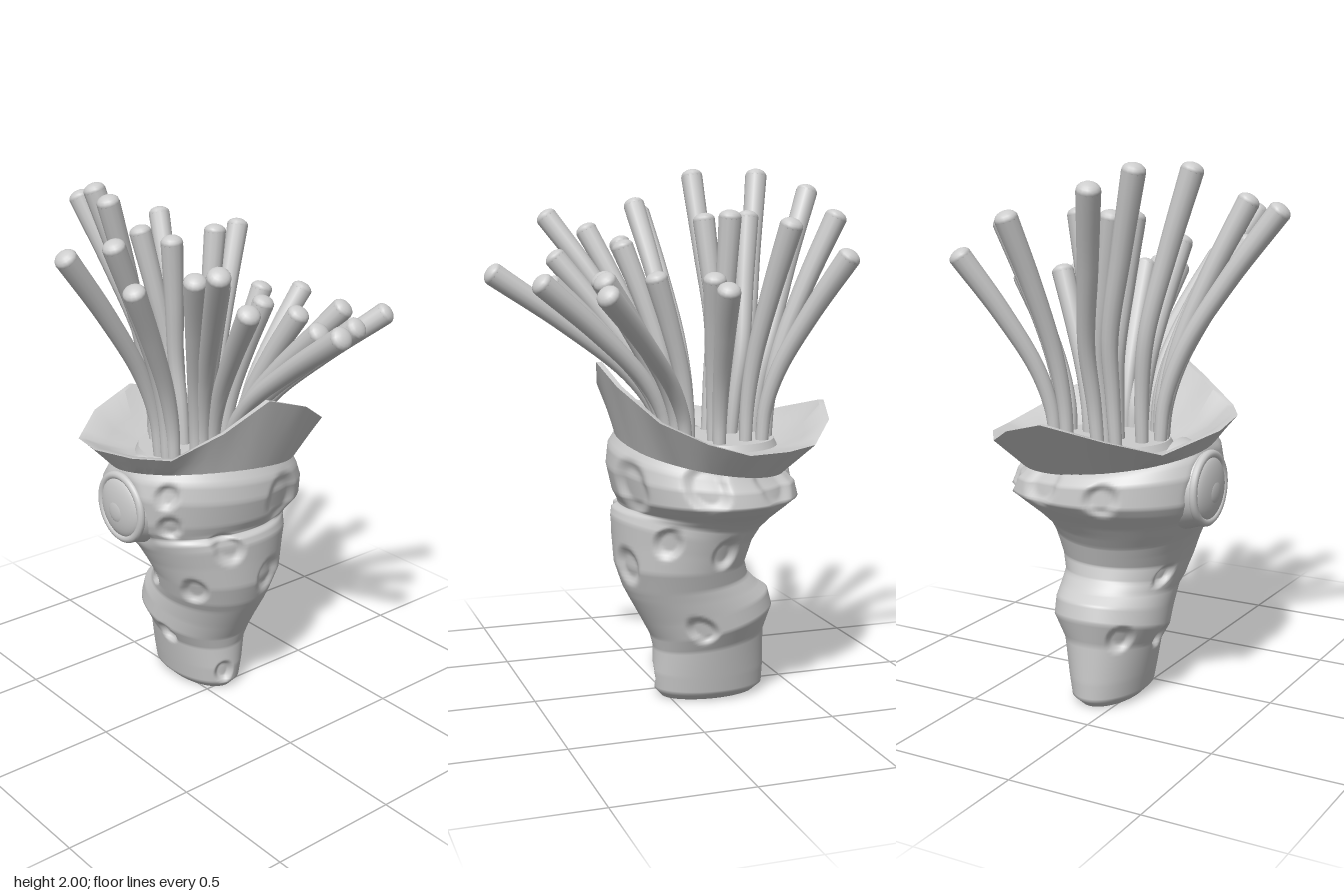
import * as THREE from 'three';
import { toCreasedNormals } from 'three/addons/utils/BufferGeometryUtils.js';

const material = new THREE.MeshStandardMaterial({ color: 0xcccccc });
const { lerp, smoothstep, degToRad } = THREE.MathUtils;
const UP = new THREE.Vector3(0, 1, 0);

function addMesh(parent, geometry, name) {
  const mesh = new THREE.Mesh(geometry, material);
  mesh.name = name;
  parent.add(mesh);
  return mesh;
}

// Skin a stack of closed rings (each an array of Vector3, all the same length)
function loft(rings) {
  const n = rings[0].length, index = [];
  for (let i = 0; i < rings.length - 1; i++) {
    for (let j = 0; j < n; j++) {
      const k = (j + 1) % n;
      const a = i * n + j, b = i * n + k, c = a + n, d = b + n;
      index.push(a, c, b, b, c, d);
    }
  }
  const geometry = new THREE.BufferGeometry().setFromPoints(rings.flat());
  geometry.setIndex(index);
  geometry.computeVertexNormals();
  return geometry;
}

// Trunk sections: y, left x, right x, back z, front z, sideways tilt
const SECTIONS = [
  [0, -0.17, -0.16, -0.09, -0.08, 0],
  [0, -0.35, 0.02, -0.18, 0.02, 0],
  [0.03, -0.382, 0.048, -0.215, 0.05, 0],
  [0.1, -0.385, 0.055, -0.23, 0.065, 0],
  [0.22, -0.382, 0.05, -0.255, 0.09, -0.03],
  [0.295, -0.412, 0.062, -0.295, 0.13, -0.055],
  [0.36, -0.395, 0.1, -0.3, 0.13, -0.05],
  [0.42, -0.35, 0.15, -0.305, 0.13, -0.02],
  [0.46, -0.31, 0.17, -0.31, 0.145, -0.02],
  [0.53, -0.295, 0.2, -0.335, 0.17, 0],
  [0.6, -0.31, 0.205, -0.35, 0.2, 0.03],
  [0.66, -0.325, 0.21, -0.365, 0.23, 0.05],
  [0.7, -0.36, 0.2, -0.375, 0.255, 0.04],
  [0.73, -0.4, 0.175, -0.41, 0.27, 0.02],
  [0.765, -0.455, 0.18, -0.46, 0.3, 0],
  [0.8, -0.485, 0.2, -0.5, 0.317, 0],
  [0.88, -0.478, 0.22, -0.488, 0.326, 0.01],
  [0.93, -0.45, 0.212, -0.465, 0.31, 0.03],
  [0.97, -0.42, 0.175, -0.445, 0.285, 0.05],
];

// Pits: angle in degrees (0 = left side, 90 = front), height, radius
const PITS = [
  [92, 0.84, 0.17], [114, 0.49, 0.045], [58, 0.51, 0.065], [22, 0.7, 0.07],
  [55, 0.93, 0.055], [53, 0.8, 0.055], [162, 0.83, 0.07], [138, 0.28, 0.06],
  [80, 0.24, 0.05], [12, 0.08, 0.055], [-18, 0.54, 0.08], [-20, 0.85, 0.11],
  [-60, 0.65, 0.065], [-72, 0.87, 0.1], [-120, 0.87, 0.11], [200, 0.86, 0.09],
  [-110, 0.6, 0.065], [-68, 0.3, 0.06],
];

function trunkGeometry() {
  const around = 192, rings = [];
  const ringAt = ([y, xl, xr, zb, zf, tilt]) => {
    const cx = (xl + xr) / 2, cz = (zb + zf) / 2, rx = (xr - xl) / 2, rz = (zf - zb) / 2;
    const pitch = 0.04 * smoothstep(y, 0.76, 0.95);
    return Array.from({ length: around }, (_, j) => {
      const t = (j / around) * Math.PI * 2, c = Math.cos(t), s = Math.sin(t);
      const py = y + tilt * c + pitch * s, mean = (rx + rz) / 2;
      let push = 0;
      for (const [deg, h, r] of PITS) {
        const turn = t - degToRad(deg);
        const arc = Math.atan2(Math.sin(turn), Math.cos(turn)) * mean;
        const d = Math.hypot(arc, py - h) / r;
        if (y > 0) push = Math.max(push, 0.024 * (1 - smoothstep(d, 0.5, 1)));
      }
      return new THREE.Vector3(cx + (rx - push) * c, py, cz + (rz - push) * s);
    });
  };
  for (let i = 0; i < SECTIONS.length - 1; i++) {
    const a = SECTIONS[i], b = SECTIONS[i + 1];
    const steps = Math.max(1, Math.round((b[0] - a[0]) / 0.01));
    for (let k = 0; k < steps; k++) rings.push(ringAt(a.map((v, m) => lerp(v, b[m], k / steps))));
  }
  rings.push(ringAt(SECTIONS.at(-1)));
  return loft(rings);
}

// Collar rim corners, going from the left side round the front
const RIM = [
  [0.27, 1.29, -0.07], [0.22, 1.19, 0.1], [0.13, 1.1, 0.27], [0, 1.09, 0.35], [-0.2, 1.07, 0.375],
  [-0.45, 1.02, 0.28], [-0.57, 1.07, 0.12], [-0.63, 1.12, -0.1], [-0.57, 1.07, -0.28],
  [-0.45, 1.0, -0.42], [-0.3, 1.0, -0.53], [-0.14, 1.0, -0.565], [0, 1.04, -0.53],
  [0.15, 1.11, -0.45], [0.25, 1.22, -0.27],
].map((p) => new THREE.Vector3(...p));

function collarGeometry() {
  const cx = -0.125, cz = -0.085, rings = Array.from({ length: 8 }, () => []);
  RIM.forEach((corner, i) => {
    for (let k = 0; k < 4; k++) {
      const rim = corner.clone().lerp(RIM[(i + 1) % RIM.length], k / 4);
      const t = Math.atan2((rim.z - cz) / 0.47, (rim.x - cx) / 0.45);
      const c = Math.cos(t), s = Math.sin(t);
      const base = new THREE.Vector3(cx + 0.31 * c, 0.95 + 0.045 * c + 0.04 * s, cz + 0.382 * s);
      const bowl = new THREE.Vector3(-0.17 + 0.26 * c, 0.975, -0.1 + 0.29 * s);
      const centre = new THREE.Vector3(-0.17, 0.975, -0.1);
      const outer = base.clone().lerp(rim, 0.5);
      const lip = rim.clone().lerp(centre, 0.05);
      lip.y = rim.y;
      const inner = bowl.clone().lerp(lip, 0.55);
      inner.y = lerp(bowl.y, lip.y, 0.42);
      const hem = base.clone().lerp(centre, 0.12);
      [hem, base, outer, rim, lip, inner, bowl, centre].forEach((p, m) => rings[m].push(p));
    }
  });
  return toCreasedNormals(loft(rings), 0.8);
}

// Tentacle tips
const TIPS = [
  [-0.54, 1.7, -0.48], [-0.34, 1.81, -0.43], [-0.07, 1.59, -0.53], [-0.09, 1.62, -0.34],
  [0.36, 1.58, -0.55], [0.32, 1.62, -0.37], [0.51, 1.61, -0.25], [0.45, 1.6, -0.13],
  [0.64, 1.64, -0.05], [0.28, 1.62, -0.19], [0.08, 1.62, -0.2], [-0.2, 1.84, -0.2],
  [-0.6, 1.84, -0.24], [-0.64, 1.94, 0.11], [-0.45, 2.0, 0.17], [-0.36, 1.84, 0.03],
  [-0.18, 1.83, 0.02], [-0.22, 2.0, 0.27], [-0.09, 1.86, 0.54], [-0.02, 1.89, 0.39],
  [0.05, 1.74, 0.36], [0.22, 1.79, 0.23], [0.37, 1.84, 0.25], [0.37, 1.69, 0.12], [0.13, 1.73, 0.05],
];

function addTentacle(parent, [x, y, z]) {
  const cx = -0.18, cz = -0.09, reach = Math.hypot(x - cx, z - cz);
  const k = Math.min(0.44, 0.2 / reach), top = y - 0.028, tipRadius = 0.042;
  // Those at the front right bow sideways at the knee
  const bend = x < -0.1 && z > 0 ? 0.045 : 0;
  // Stems rise almost straight, then splay outward
  const at = (out, h, side) => new THREE.Vector3(
    lerp(cx, x, k + (1 - k) * out) - side * bend * (z - cz) / reach,
    lerp(0.97, top, h),
    lerp(cz, z, k + (1 - k) * out) + side * bend * (x - cx) / reach);
  const path = new THREE.CatmullRomCurve3(
    [at(0, 0, 0.3), at(0.04, 0.2, 0.6), at(0.2, 0.42, 1), at(0.58, 0.72, 0.5), at(1, 1, 0)]);
  const segments = 24, sides = 12;
  const stem = new THREE.TubeGeometry(path, segments, 1, sides);
  const pos = stem.attributes.position, v = new THREE.Vector3();
  for (let i = 0; i < pos.count; i++) {
    const u = Math.floor(i / (sides + 1)) / segments, p = path.getPointAt(u);
    v.fromBufferAttribute(pos, i).sub(p).multiplyScalar(lerp(0.023, tipRadius, u)).add(p);
    pos.setXYZ(i, v.x, v.y, v.z);
  }
  const tentacle = new THREE.Group();
  tentacle.name = 'tentacle';
  addMesh(tentacle, stem, 'stem');
  // Blunt rounded end in line with the stem
  const tip = addMesh(tentacle, new THREE.SphereGeometry(tipRadius, 14, 10), 'tip');
  tip.scale.y = 0.65;
  tip.quaternion.setFromUnitVectors(UP, path.getTangentAt(1));
  tip.position.copy(at(1, 1, 0));
  parent.add(tentacle);
}

export function createModel() {
  const model = new THREE.Group();
  model.name = 'tentacledTubeCreature';
  addMesh(model, trunkGeometry(), 'trunk');
  addMesh(model, collarGeometry(), 'collar');

  // Raised pad the tentacles grow from
  const pad = addMesh(model, new THREE.CylinderGeometry(0.22, 0.24, 0.04, 40), 'mouthPad');
  pad.scale.z = 1.1;
  pad.position.set(-0.18, 0.98, -0.1);

  // Round front eye set in a ring on a bulging socket
  const eye = new THREE.Group();
  eye.name = 'eye';
  eye.position.set(-0.14, 0.84, 0.302);
  const socket = addMesh(eye, new THREE.CylinderGeometry(0.135, 0.175, 0.12, 40), 'eyeSocket');
  socket.rotation.x = Math.PI / 2;
  socket.position.z = -0.06;
  addMesh(eye, new THREE.TorusGeometry(0.125, 0.016, 12, 48), 'eyeRing');
  addMesh(eye, new THREE.SphereGeometry(0.118, 36, 18), 'eyeball').scale.z = 0.28;
  const pupil = addMesh(eye, new THREE.SphereGeometry(0.045, 24, 12), 'pupil');
  pupil.scale.z = 0.25;
  pupil.position.set(0, -0.01, 0.025);
  model.add(eye);

  const tentacles = new THREE.Group();
  tentacles.name = 'tentacles';
  TIPS.forEach((tip) => addTentacle(tentacles, tip));
  model.add(tentacles);
  return model;
}
